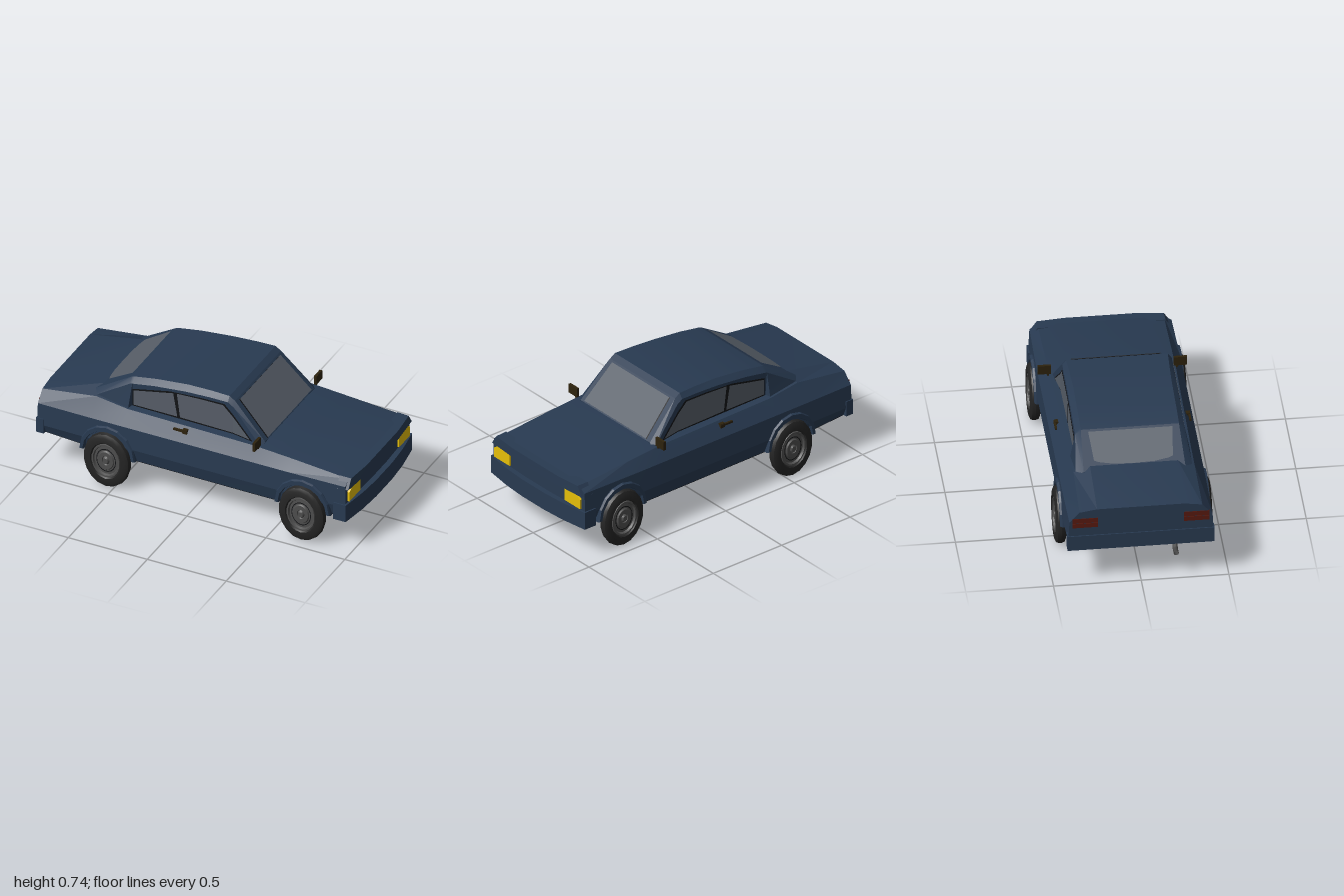
import * as THREE from 'three';
import { toCreasedNormals } from 'three/addons/utils/BufferGeometryUtils.js';

const mat = (name, color, extra = {}) => {
  const m = new THREE.MeshStandardMaterial({ color, ...extra });
  m.name = name;
  return m;
};

export function createModel() {
  const car = new THREE.Group();
  car.name = 'car';
  const paint = mat('bodyPaint', 0x283a51);
  const glass = mat('glass', 0x575e68, { side: THREE.DoubleSide });
  const black = mat('underbodyBlack', 0x121316, { side: THREE.DoubleSide });
  const rubber = mat('rubber', 0x242424);
  const steel = mat('wheelSteel', 0x4e4e4e);
  const metal = mat('darkMetal', 0x484848, { side: THREE.DoubleSide });
  const amber = mat('headlightYellow', 0xe6bf08);
  const brown = mat('trimBrown', 0x2d220d);
  const red = mat('tailRed', 0x581a10);

  const add = (name, geo, material, parent = car) => {
    const mesh = new THREE.Mesh(geo, material);
    mesh.name = name;
    parent.add(mesh);
    return mesh;
  };
  const box = (name, w, h, d, x, y, z, material) => {
    const m = add(name, new THREE.BoxGeometry(w, h, d), material);
    m.position.set(x, y, z);
    return m;
  };
  const surface = (tris) => {
    const g = new THREE.BufferGeometry();
    g.setAttribute('position', new THREE.Float32BufferAttribute(tris.flat(), 3));
    g.computeVertexNormals();
    return g;
  };

  // Loft mirrored half sections [x, [[z, y], ...]] (bottom to top) along x
  const loft = (sections) => {
    const rings = sections.map(([x, half]) => [
      ...half.map(([z, y]) => [x, y, z]),
      ...half.slice().reverse().map(([z, y]) => [x, y, -z]),
    ]);
    const t = [], n = rings[0].length, last = rings[rings.length - 1];
    for (let i = 0; i < rings.length - 1; i++) {
      for (let j = 0; j < n; j++) {
        const a = rings[i], b = rings[i + 1], k = (j + 1) % n;
        t.push(a[j], b[j], b[k], a[j], b[k], a[k]);
      }
    }
    for (let j = 1; j < n - 1; j++) {
      t.push(rings[0][0], rings[0][j], rings[0][j + 1]);
      t.push(last[0], last[j + 1], last[j]);
    }
    return toCreasedNormals(surface(t), 0.2);
  };
  // Flat polygon through 3D points
  const pane = (pts) => {
    const t = [];
    for (let i = 1; i < pts.length - 1; i++) t.push(pts[0], pts[i], pts[i + 1]);
    return surface(t);
  };
  // Plan outline [x, z], mirrored over z, extruded between two heights
  const plan = (half, y0, y1) => {
    const pts = [...half, ...half.slice().reverse().map(([x, z]) => [x, -z])];
    const s = new THREE.Shape(pts.map(([x, z]) => new THREE.Vector2(x, z)));
    return new THREE.ExtrudeGeometry(s, { depth: y1 - y0, bevelEnabled: false })
      .rotateX(Math.PI / 2).translate(0, y1, 0);
  };

  // Lower body: x, bottom y, side z, shoulder z/y, deck z/y
  const stations = [
    [-0.99, 0.235, 0.415, 0.35, 0.485, 0.25, 0.5],
    [-0.65, 0.215, 0.418, 0.345, 0.53, 0.25, 0.565],
    [-0.45, 0.205, 0.418, 0.35, 0.505, 0.3, 0.515],
    [0.36, 0.2, 0.418, 0.36, 0.5, 0.25, 0.51],
    [0.6, 0.2, 0.418, 0.36, 0.482, 0.25, 0.494],
    [0.955, 0.21, 0.412, 0.36, 0.45, 0.25, 0.458],
  ];
  add('lowerBody', loft(stations.map(([x, b, s, hz, hy, tz, ty]) => [x,
    [[s - 0.022, b], [s, 0.285], [s - 0.007, 0.42], [hz, hy], [tz, ty]]])), paint);
  add('floor', loft(stations.map(([x, b, s]) => [x,
    [[s - 0.025, b - 0.005], [s - 0.025, b + 0.01]]])), black);

  // Cabin: x, roof height, roof half width, base half width, eave half width
  add('cabin', loft([
    [-0.68, 0.547, 0.29, 0.345, 0.335], [-0.455, 0.683, 0.28, 0.35, 0.312],
    [-0.44, 0.687, 0.28, 0.312, 0.312], [-0.3, 0.711, 0.28, 0.312, 0.312],
    [-0.1, 0.732, 0.28, 0.312, 0.312], [0.05, 0.738, 0.285, 0.312, 0.312],
    [0.165, 0.738, 0.29, 0.312, 0.312], [0.2, 0.715, 0.29, 0.312, 0.312],
    [0.4, 0.508, 0.31, 0.345, 0.345],
  ].map(([x, top, z, base, eave]) => [x, [[base, 0.46], [eave, top - 0.03], [z, top]]])), paint);

  // Glass
  const screen = (out, rim) => [[0.208, 0.706, 0.255], [0.395, 0.514, 0.275],
    [0.395, 0.514, -0.275], [0.208, 0.706, -0.255]]
    .map(([x, y, z]) => [x + out, y + out, z + Math.sign(z) * rim]);
  add('windscreenSeal', pane(screen(0.003, 0.004)), black);
  add('windscreen', pane(screen(0.006, 0)), glass);
  add('rearWindow', pane([[-0.635, 0.2], [-0.648, 0.12], [-0.652, 0], [-0.648, -0.12], [-0.635, -0.2],
    [-0.625, -0.225], [-0.47, -0.24], [-0.47, 0.24], [-0.625, 0.225]]
    .map(([x, z]) => [x - 0.003, 0.565 + 0.6 * (x + 0.65) + 0.006, z])), glass);
  // Upright side windows that turn outwards along the windscreen pillar
  const sideZ = (x) => 0.312 + 0.165 * Math.max(0, x - 0.2);
  const windows = {
    windowSeal: [[0.2, 0.507], [0.334, 0.505], [0.2, 0.636], [0.145, 0.692], [0, 0.69],
      [-0.2, 0.677], [-0.436, 0.625], [-0.436, 0.513]],
    quarterWindow: [[-0.43, 0.522], [-0.152, 0.522], [-0.178, 0.672], [-0.43, 0.618]],
    doorWindow: [[0.2, 0.516], [0.315, 0.513], [0.2, 0.623], [0.138, 0.684], [0, 0.683],
      [-0.155, 0.676], [-0.135, 0.522]],
  };
  for (const side of [1, -1]) {
    for (const [name, pts] of Object.entries(windows)) {
      const seal = name === 'windowSeal';
      add(name, pane(pts.map(([x, y]) => [x, y, side * (sideZ(x) + (seal ? 0.003 : 0.006))])),
        seal ? black : glass);
    }
  }

  // Nose and bumpers
  add('nosePanel', plan([[0.9, 0.405], [0.957, 0.405], [0.96, 0.25], [0.966, 0.1]], 0.29, 0.4), paint);
  add('bonnetLip', loft([
    [0.9, [[0.408, 0.4], [0.365, 0.461]]],
    [0.972, [[0.402, 0.4], [0.362, 0.459]]],
    [0.988, [[0.2, 0.4], [0.2, 0.459]]],
  ]), paint);
  add('frontBumper', plan([[0.885, 0.42], [0.965, 0.42], [0.99, 0.25], [1, 0.1]], 0.195, 0.305), paint);
  box('rearBumper', 0.05, 0.095, 0.838, -0.972, 0.28, 0, paint);

  // Wheel profiles: [radius, offset along axle]
  const lathe = (pts, n, crease) => toCreasedNormals(
    new THREE.LatheGeometry(pts.map((p) => new THREE.Vector2(...p)), n), crease);
  const tyre = lathe([[0, -0.025], [0.1, -0.03], [0.15, -0.03], [0.172, -0.02], [0.178, 0],
    [0.172, 0.02], [0.152, 0.03], [0.118, 0.03], [0.105, 0.012]], 18, 0.5).rotateX(Math.PI / 2);
  const rim = lathe([[0.112, 0.014], [0.108, 0.027], [0.098, 0.027], [0.092, 0.014], [0.062, 0.016],
    [0.056, 0.024], [0.03, 0.024], [0.026, 0.018], [0.018, 0.03], [0, 0.03]], 18, 0.5).rotateX(Math.PI / 2);
  const seam = new THREE.RingGeometry(0.07, 0.076, 18, 1).translate(0, 0, 0.018);

  // Wheel arch lip
  const arch = new THREE.Shape();
  const arc = (rx, ry, i) => [rx * Math.cos(Math.PI * i / 8), ry * Math.sin(Math.PI * i / 8)];
  arch.moveTo(...arc(0.172, 0.182, 0));
  for (let i = 1; i <= 8; i++) arch.lineTo(...arc(0.172, 0.182, i));
  for (let i = 8; i >= 0; i--) arch.lineTo(...arc(0.154, 0.155, i));
  const archGeo = new THREE.ExtrudeGeometry(arch, {
    depth: 0.03, bevelEnabled: true, bevelSize: 0.005, bevelThickness: 0.012, bevelSegments: 1,
  });

  for (const x of [-0.545, 0.69]) {
    for (const side of [1, -1]) {
      const wheel = new THREE.Group();
      wheel.name = 'wheel';
      wheel.position.set(x, 0.178, side * 0.415);
      wheel.rotation.y = side > 0 ? 0 : Math.PI;
      wheel.scale.x = 0.82;
      add('tyre', tyre, rubber, wheel);
      add('rim', rim, steel, wheel);
      add('rimSeam', seam, black, wheel);
      const hub = add('hub', new THREE.CylinderGeometry(0.045, 0.035, 0.1, 12).rotateX(Math.PI / 2), steel, wheel);
      hub.position.z = -0.075;
      car.add(wheel);
      add('wheelArch', archGeo, paint).position.set(x, 0.21, side > 0 ? 0.386 : -0.416);
      box('springMount', 0.08, 0.1, 0.025, x, 0.165, side * 0.285, black);
    }
    add('axle', new THREE.CylinderGeometry(0.03, 0.03, 0.7, 12).rotateX(Math.PI / 2), rubber)
      .position.set(x, 0.175, 0);
  }

  // Underside ring and exhaust
  add('underRing', lathe([[0.125, 0.12], [0.145, 0], [0.187, 0], [0.206, 0.02], [0.206, 0.12]], 12, 0.6), metal)
    .position.set(0.08, 0.084, 0);
  const pipe = new THREE.CatmullRomCurve3([[-0.92, 0.25], [-0.925, 0.195], [-0.95, 0.17], [-1, 0.17]]
    .map(([x, y]) => new THREE.Vector3(x, y, 0.2)));
  add('exhaust', new THREE.TubeGeometry(pipe, 10, 0.015, 8), metal);

  // Lamps, mirrors and handles on both sides
  const lamp = (pts, depth) => new THREE.ExtrudeGeometry(
    new THREE.Shape(pts.map((p) => new THREE.Vector2(...p))), { depth, bevelEnabled: false });
  for (const s of [1, -1]) {
    // Outline runs along -z on the front face
    const head = add('headlight', lamp([[-s * 0.245, 0.315], [-s * 0.383, 0.315], [-s * 0.383, 0.375],
      [-s * 0.345, 0.4], [-s * 0.245, 0.4]], 0.015), amber);
    head.rotation.y = Math.PI / 2;
    head.position.x = 0.956;
    for (const [y, h] of [[0.396, 0.028], [0.428, 0.03]]) {
      box('tailLight', 0.008, h, 0.145, -0.989, y, s * 0.317, red);
    }
    box('mirror', 0.016, 0.055, 0.075, 0.385, 0.532, s * 0.388, brown);
    const stem = box('mirrorStem', 0.012, 0.06, 0.01, 0.383, 0.495, s * 0.365, brown);
    stem.rotation.x = s * 0.6;
    box('handleBar', 0.085, 0.012, 0.012, -0.1, 0.482, s * 0.383, brown);
    box('handleGrip', 0.03, 0.026, 0.022, -0.073, 0.479, s * 0.375, brown);
  }
  return car;
}
